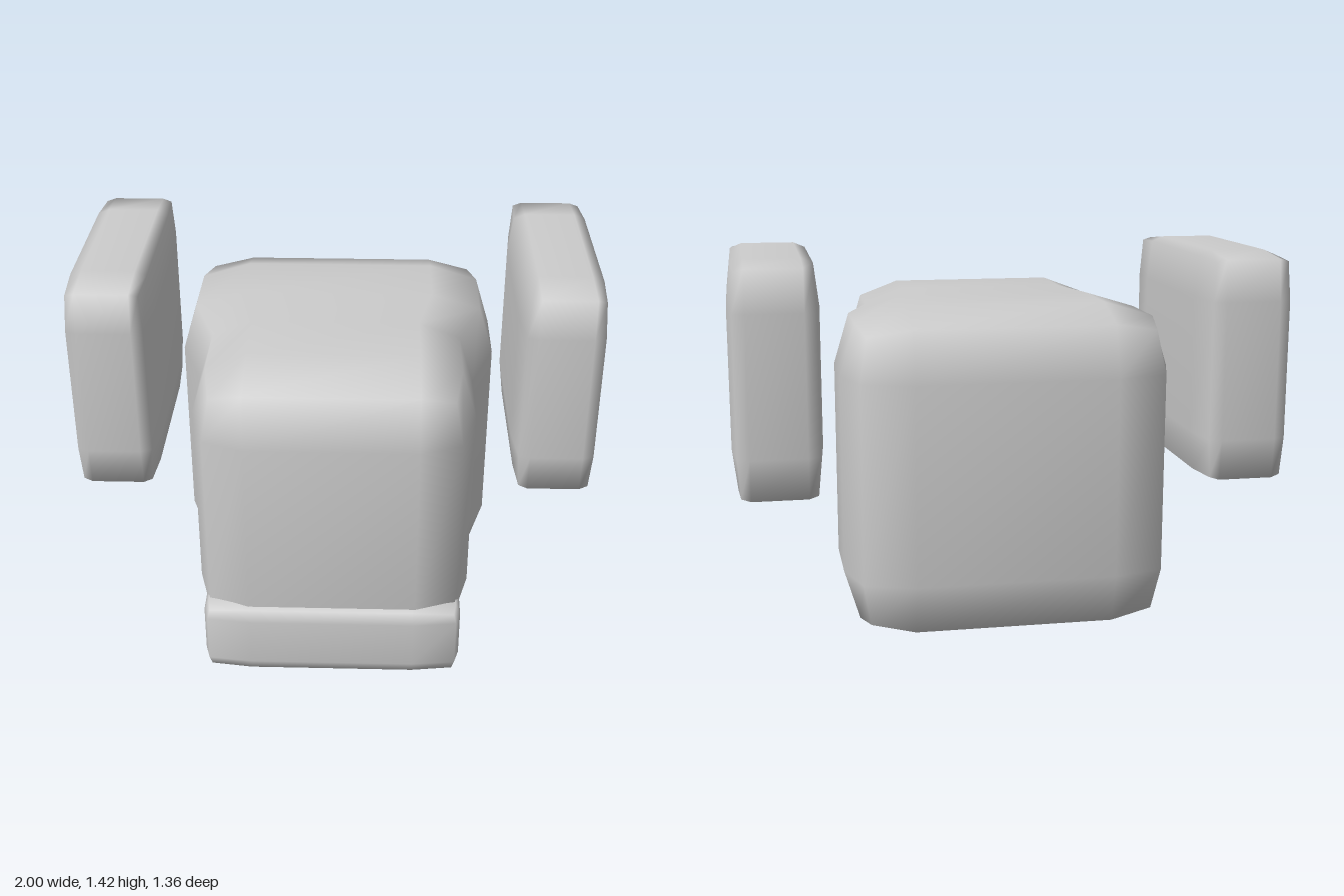
import * as THREE from 'three';
import { mergeVertices } from 'three/addons/utils/BufferGeometryUtils.js';

// Soft cage box: a 3 x 3 x n grid whose edges and corners are drawn inward.
// inset: distance of the inner grid lines from each side, as a share of the half size
// zs: stations from back to front, widths: half width at each station
function softBox({ zs, widths, bottom, top, insetX, insetY, pull }) {
  const n = zs.length - 1;
  let g = new THREE.BoxGeometry(3, 3, n, 3, 3, n);
  g.deleteAttribute('normal');
  g.deleteAttribute('uv');
  const p = g.attributes.position;
  const cy = (top + bottom) / 2, hy = (top - bottom) / 2;
  for (let v = 0; v < p.count; v++) {
    const i = Math.round(p.getX(v) + 1.5);
    const j = Math.round(p.getY(v) + 1.5);
    const k = Math.round(p.getZ(v) + n / 2);
    const ex = i % 3 === 0, ey = j % 3 === 0, ez = k % n === 0;
    // 1 = on a face, 2 = on an edge, 3 = on a corner
    const d = [0, 0, 1, 1.5][ex + ey + ez] * pull;
    const sx = i < 2 ? -1 : 1, sy = j < 2 ? -1 : 1;
    const w = widths[k];
    p.setXYZ(v,
      sx * (ex ? w - d : w * (1 - insetX)),
      cy + sy * (ey ? hy - d : hy * (1 - insetY)),
      zs[k] - (ez ? Math.sign(k - 0.5) * d : 0));
  }
  g = mergeVertices(g);
  g.computeVertexNormals();
  return g;
}

export function createModel() {
  const group = new THREE.Group();
  const grey = new THREE.MeshStandardMaterial({ color: 0xcccccc });
  grey.name = 'light grey';

  const add = (name, geometry, x = 0) => {
    const mesh = new THREE.Mesh(geometry, grey);
    mesh.name = name;
    mesh.position.x = x;
    group.add(mesh);
  };

  // Body, wider at the back and stepping in towards the front
  add('body', softBox({
    zs: [-0.645, -0.4, -0.13, 0.12, 0.38, 0.645],
    widths: [0.61, 0.61, 0.61, 0.52, 0.52, 0.52],
    bottom: 0.005, top: 1.23, insetX: 0.4, insetY: 0.4, pull: 0.057,
  }));

  // Bar along the lower front edge
  add('frontBar', softBox({
    zs: [0.375, 0.44, 0.6, 0.68],
    widths: [0.485, 0.485, 0.485, 0.485],
    bottom: 0.003, top: 0.312, insetX: 0.37, insetY: 0.4, pull: 0.018,
  }));

  // Floating side blocks
  const side = softBox({
    zs: [-0.677, -0.49, 0.1, 0.287],
    widths: [0.16, 0.16, 0.16, 0.16],
    bottom: 0.585, top: 1.42, insetX: 0.38, insetY: 0.4, pull: 0.018,
  });
  add('leftBlock', side, 0.84);
  add('rightBlock', side, -0.84);

  return group;
}
